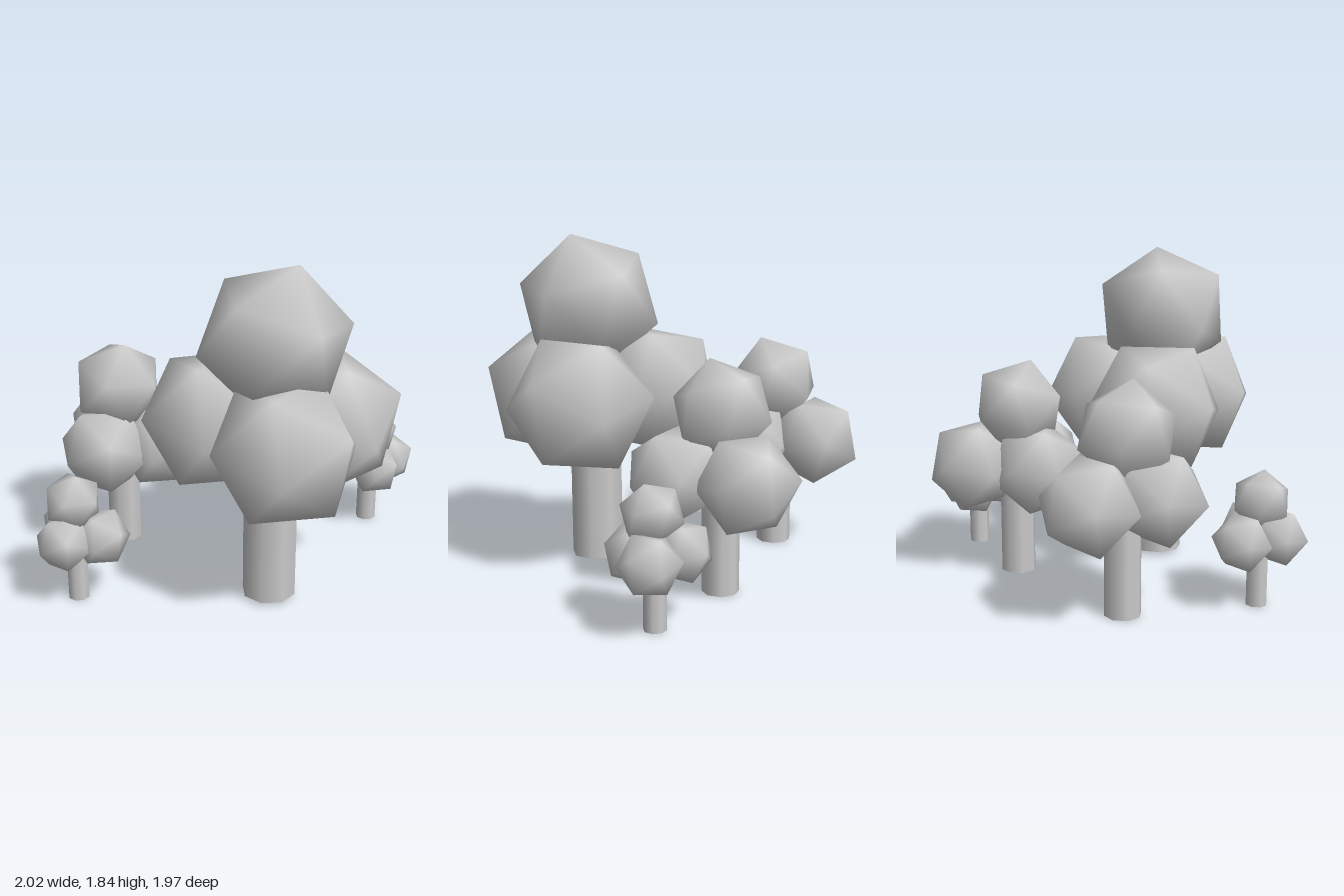
import * as THREE from 'three';
import { mergeVertices } from 'three/addons/utils/BufferGeometryUtils.js';

const material = new THREE.MeshStandardMaterial({ color: 0xcccccc });

// Smooth-shaded icosahedron, turned so that one edge runs between directions a and b
function foliageGeometry(radius, a, b) {
  let geometry = new THREE.IcosahedronGeometry(radius, 0);
  geometry.deleteAttribute('normal');
  geometry.deleteAttribute('uv');
  geometry = mergeVertices(geometry, 1e-4);
  const va = new THREE.Vector3(...a).normalize();
  const vb = new THREE.Vector3(...b).normalize();
  const x = va.clone().sub(vb).normalize();
  const y = va.clone().add(vb).normalize();
  const z = x.clone().cross(y);
  geometry.applyMatrix4(new THREE.Matrix4().makeBasis(x, y, z));
  geometry.computeVertexNormals();
  return geometry;
}

// Foliage clumps around the trunk: position, then the two directions of an edge
const clumps = [
  ['leftFoliage', [-0.345, 0.94, -0.085], [0.08, -0.04, 0.395], [0.345, 0.14, 0.12]],
  ['backFoliage', [0.245, 0.94, -0.25], [0.09, -0.04, -0.395], [0.345, 0.14, -0.115]],
  ['frontFoliage', [0.13, 0.94, 0.225], [0.09, -0.04, 0.395], [0.345, 0.14, 0.115]],
  ['topFoliage', [0.015, 1.44, 0.025], [0.11, 0.38, -0.01], [0.36, 0.07, -0.16]],
];

// Trees: name, x, y, z, scale, turn in degrees
const trees = [
  ['bigTree', 0.415, 0.02, 0.365, 1, 0],
  ['leftTree', -0.595, 0, -0.02, 0.675, -40],
  ['backTree', 0.19, 0, -0.505, 0.675, -80],
  ['smallBackTree', 0.75, 0, -0.715, 0.4, 0],
  ['smallFrontTree', -0.56, 0, 0.71, 0.4, -39],
];

function createTree() {
  const tree = new THREE.Group();

  // Open eight-sided trunk
  const trunkHeight = 1.1;
  const trunk = new THREE.Mesh(
    new THREE.CylinderGeometry(0.147, 0.147, trunkHeight, 8, 1, true), material);
  trunk.name = 'trunk';
  trunk.position.y = trunkHeight / 2;
  tree.add(trunk);

  // Three lower clumps and one on top
  for (const [name, position, a, b] of clumps) {
    const clump = new THREE.Mesh(foliageGeometry(0.402, a, b), material);
    clump.name = name;
    clump.position.set(...position);
    tree.add(clump);
  }
  return tree;
}

export function createModel() {
  const model = new THREE.Group();
  model.name = 'treeGrove';
  for (const [name, x, y, z, scale, turn] of trees) {
    const tree = createTree();
    tree.name = name;
    tree.position.set(x, y, z);
    tree.scale.setScalar(scale);
    tree.rotation.y = THREE.MathUtils.degToRad(turn);
    model.add(tree);
  }
  return model;
}
